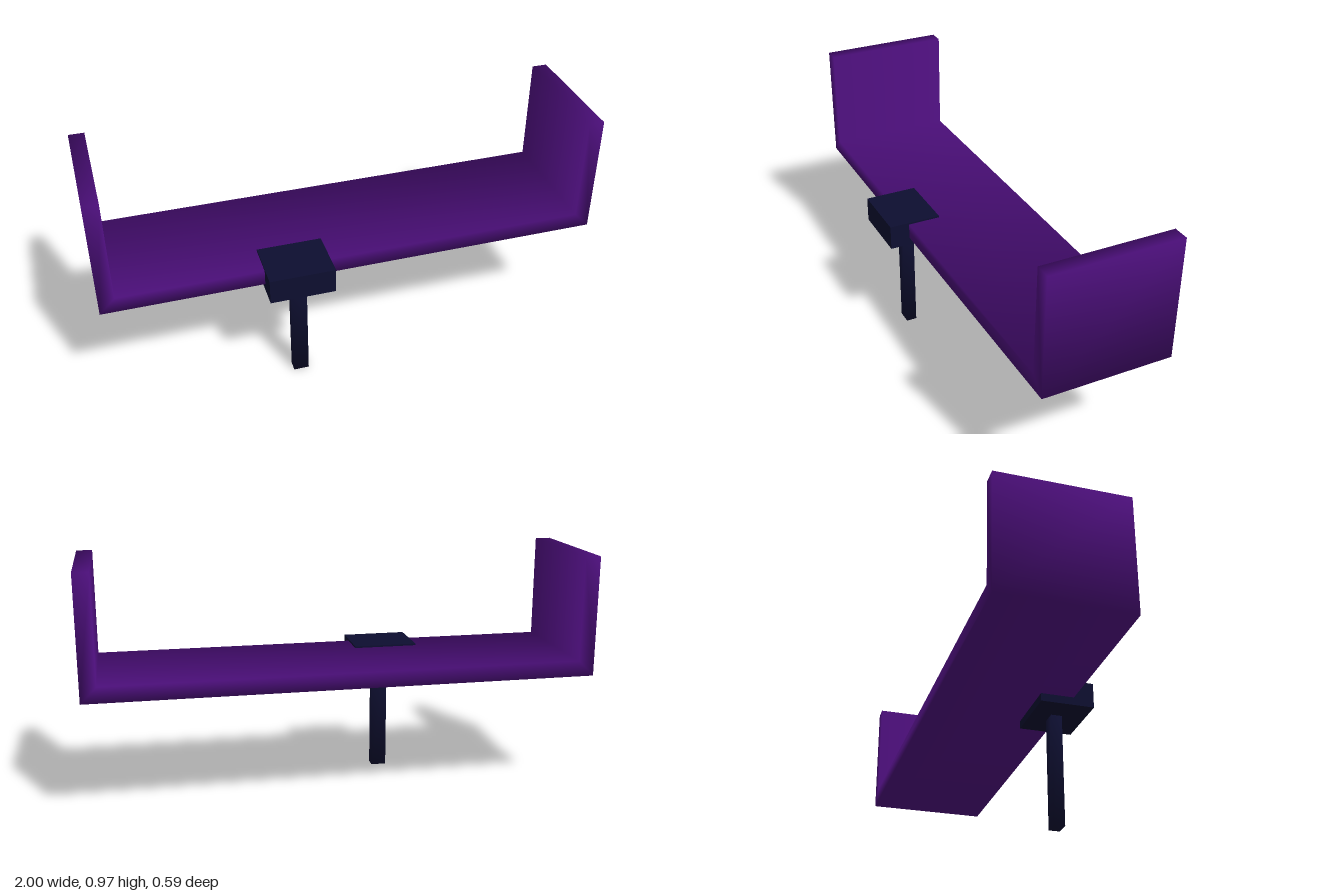
import * as THREE from 'three';

const purple = new THREE.MeshStandardMaterial({ color: 0x4a0e78 });
purple.name = 'deep purple';
const navy = new THREE.MeshStandardMaterial({ color: 0x0d0e30 });
navy.name = 'dark navy';

// Soft shading: each corner averages the distinct directions of the faces meeting there
function softenNormals(source) {
  const geo = source.index ? source.toNonIndexed() : source;
  geo.computeVertexNormals();
  const pos = geo.attributes.position;
  const normal = geo.attributes.normal;
  const corners = new Map();
  const keyOf = i => [pos.getX(i), pos.getY(i), pos.getZ(i)].map(v => Math.round(v * 1e4)).join();
  for (let i = 0; i < pos.count; i++) {
    const n = new THREE.Vector3().fromBufferAttribute(normal, i);
    const list = corners.get(keyOf(i)) ?? [];
    if (!list.some(m => m.dot(n) > 0.99)) list.push(n);
    corners.set(keyOf(i), list);
  }
  for (let i = 0; i < pos.count; i++) {
    const sum = new THREE.Vector3();
    corners.get(keyOf(i)).forEach(n => sum.add(n));
    sum.normalize();
    normal.setXYZ(i, sum.x, sum.y, sum.z);
  }
  return geo;
}

function addMesh(group, name, geometry, material) {
  const mesh = new THREE.Mesh(geometry, material);
  mesh.name = name;
  group.add(mesh);
  return mesh;
}

export function createModel() {
  const group = new THREE.Group();
  group.name = 'trayOnPost';

  // U-shaped tray: floor and two upright ends in one piece
  const profile = new THREE.Shape([
    [-1, 0.487], [1, 0.487], [1, 0.973], [0.938, 0.973],
    [0.938, 0.55], [-0.938, 0.55], [-0.938, 0.967], [-1, 0.967],
  ].map(([x, y]) => new THREE.Vector2(x, y)));
  const tray = new THREE.ExtrudeGeometry(profile, { depth: 0.513, bevelEnabled: false });
  tray.translate(0, 0, -0.297);
  addMesh(group, 'tray', softenNormals(tray), purple);

  // Block clamped through the front edge of the floor
  addMesh(group, 'bracket', new THREE.BoxGeometry(0.26, 0.102, 0.214), navy)
    .position.set(-0.24, 0.506, 0.19);

  // Single post down to the ground
  addMesh(group, 'post', softenNormals(new THREE.BoxGeometry(0.062, 0.47, 0.044)), navy)
    .position.set(-0.234, 0.235, 0.182);

  return group;
}
